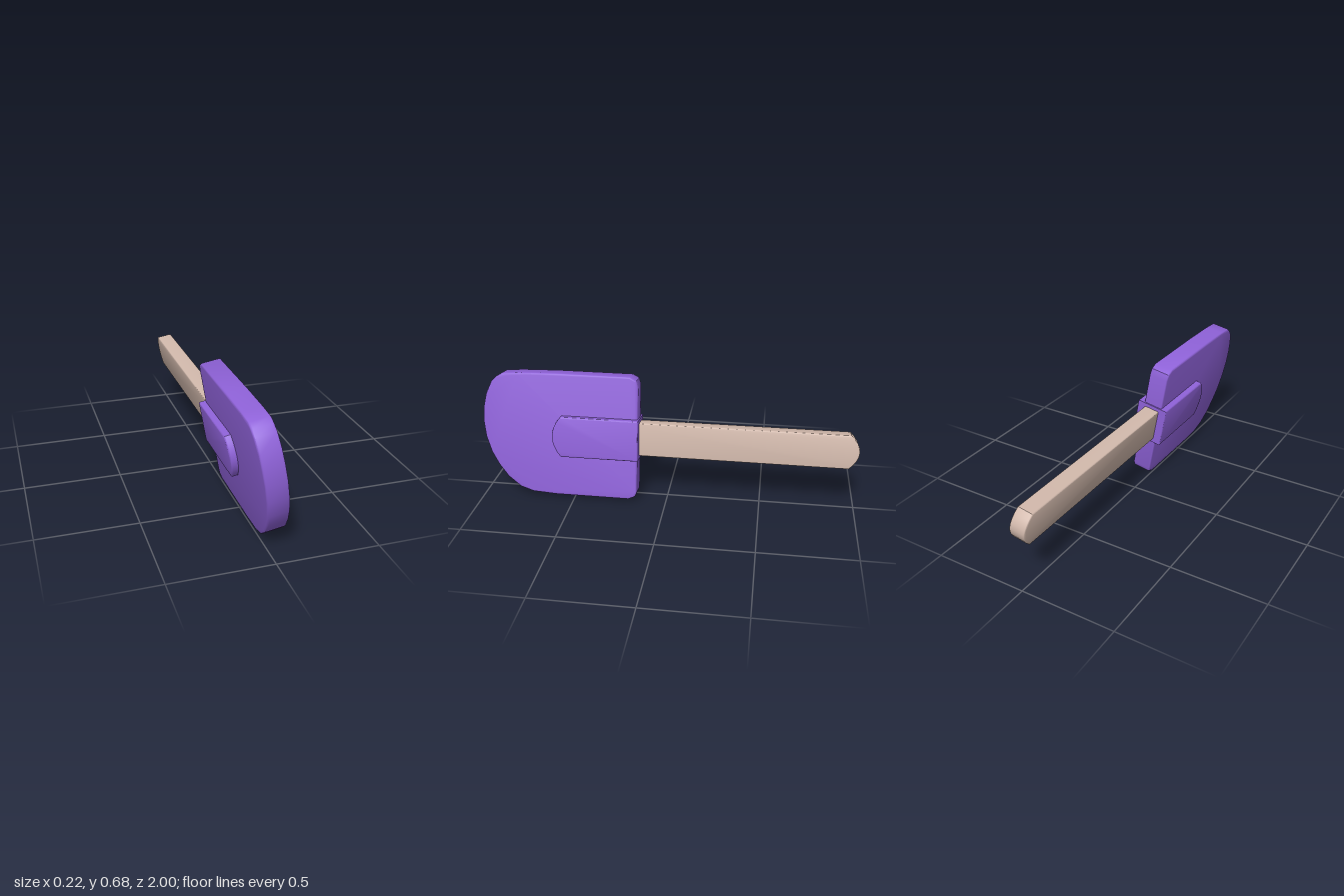
import * as THREE from 'three';
import { toCreasedNormals } from 'three/addons/utils/BufferGeometryUtils.js';

const TILT = 0.174;
const rubber = new THREE.MeshStandardMaterial({ color: 0x8f62d9 });
const wood = new THREE.MeshStandardMaterial({ color: 0xd2b9ac });

// Slab whose outline is given as [z, y] points and whose thickness runs along x
function slab(name, points, thickness, bevel, material) {
  const shape = new THREE.Shape(points.map(([z, y]) => new THREE.Vector2(z, y)));
  const geometry = new THREE.ExtrudeGeometry(shape, {
    depth: thickness - 2 * bevel,
    bevelThickness: bevel,
    bevelSize: bevel,
    bevelOffset: -bevel,
    bevelSegments: 3,
  });
  geometry.translate(0, 0, bevel - thickness / 2);
  geometry.rotateY(-Math.PI / 2);
  const mesh = new THREE.Mesh(toCreasedNormals(geometry, 0.6), material);
  mesh.name = name;
  return mesh;
}

// Bar outline: square at z = base, shallow arc at the far end
function bar(base, shoulder, tip, halfHeight) {
  const points = [[base, -halfHeight]];
  const steps = 8;
  for (let i = 0; i <= steps; i++) {
    const t = -1 + (2 * i) / steps;
    points.push([shoulder + (tip - shoulder) * (1 - t * t), t * halfHeight]);
  }
  points.push([base, halfHeight]);
  return points;
}

export function createModel() {
  const model = new THREE.Group();
  model.name = 'spatula';

  // Blade: straight top, one broad rounded lower corner
  const blade = [
    [0.155, -0.295], [0.165, -0.32], [0.2, -0.336], [0.6, -0.336], [0.73, -0.328],
    [0.8, -0.305], [0.87, -0.25], [0.92, -0.185], [0.96, -0.115], [0.988, -0.03],
    [1.0, 0.06], [0.995, 0.14], [0.98, 0.21], [0.95, 0.275], [0.92, 0.305],
    [0.89, 0.324], [0.8, 0.331], [0.6, 0.336], [0.2, 0.336], [0.165, 0.318], [0.155, 0.285],
  ];
  model.add(slab('blade', blade, 0.107, 0.01, rubber));

  // Raised socket showing on both faces of the blade
  model.add(slab('socket', bar(0.148, 0.565, 0.612, 0.11), 0.176, 0.008, rubber));

  // Flat stick handle
  model.add(slab('handle', bar(0.25, -0.95, -1, 0.09), 0.085, 0.007, wood));

  // Whole tool leans sideways
  model.rotation.z = TILT;
  model.position.y = 0.341;

  const root = new THREE.Group();
  root.add(model);
  return root;
}
